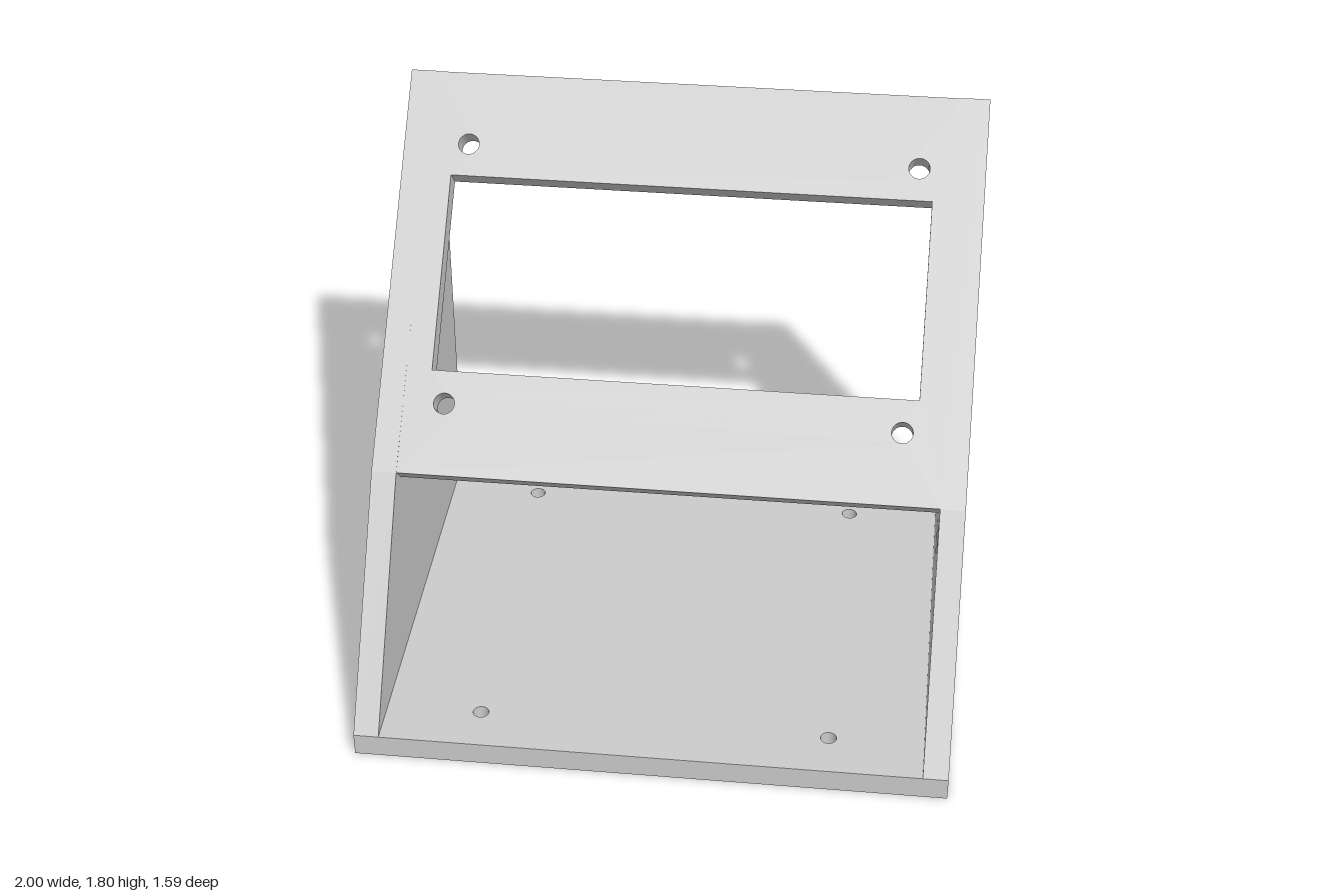
import * as THREE from 'three';

const T = 0.085;          // wall thickness
const INNER = 1 - T;      // half width between the side walls
const material = new THREE.MeshStandardMaterial({ color: 0xcccccc });

// Flat plate from an outline with round holes [x, y, radius] and rectangular cutouts
function plate(points, depth, holes = [], cutouts = []) {
  const shape = new THREE.Shape(points.map(([x, y]) => new THREE.Vector2(x, y)));
  for (const [x, y, r] of holes) {
    shape.holes.push(new THREE.Path().absarc(x, y, r, 0, Math.PI * 2, true));
  }
  for (const [x0, y0, x1, y1] of cutouts) {
    shape.holes.push(new THREE.Path(
      [[x0, y0], [x0, y1], [x1, y1], [x1, y0]].map(([x, y]) => new THREE.Vector2(x, y))));
  }
  return new THREE.ExtrudeGeometry(shape, { depth, bevelEnabled: false, curveSegments: 20 });
}

const rect = (x0, y0, x1, y1) => [[x0, y0], [x1, y0], [x1, y1], [x0, y1]];

export function createModel() {
  const group = new THREE.Group();
  const add = (name, geometry) => {
    const mesh = new THREE.Mesh(geometry, material);
    mesh.name = name;
    group.add(mesh);
    return mesh;
  };

  // Side walls: outline in (z, y); only the +x wall has the connector holes
  const profile = [[0.795, 0], [0.795, 0.08], [0.27, 0.8], [-0.735, 1.8], [-0.795, 1.74], [-0.795, 0]].reverse();
  const connectorHoles = [[0.11, 0.56, 0.062], [-0.255, 0.56, 0.055], [-0.625, 0.56, 0.06]];
  for (const [name, x, holes] of [['leftWall', 1, connectorHoles], ['rightWall', -INNER, []]]) {
    add(name, plate(profile, T, holes).rotateY(-Math.PI / 2).translate(x, 0, 0));
  }

  // Floor with four mounting holes
  const floorHoles = [];
  for (const x of [-0.593, 0.593]) for (const z of [-0.63, 0.63]) floorHoles.push([x, z, 0.027]);
  add('floor', plate(rect(-INNER, -0.795, INNER, 0.795), 0.08, floorHoles)
    .rotateX(-Math.PI / 2));

  // Sloping panel: heights are converted to distances along the 45 degree slope
  const along = (y) => (y - 0.8) * Math.SQRT2;
  const screwHoles = [];
  for (const x of [-0.775, 0.775]) for (const y of [0.975, 1.62]) screwHoles.push([x, along(y), 0.036]);
  add('slopingPanel', plate(rect(-INNER, 0, INNER, along(1.8)), T, screwHoles,
    [[-0.827, along(1.055), 0.825, along(1.54)]])
    .translate(0, 0, -T).rotateX(-Math.PI / 4).translate(0, 0.8, 0.268));

  return group;
}
